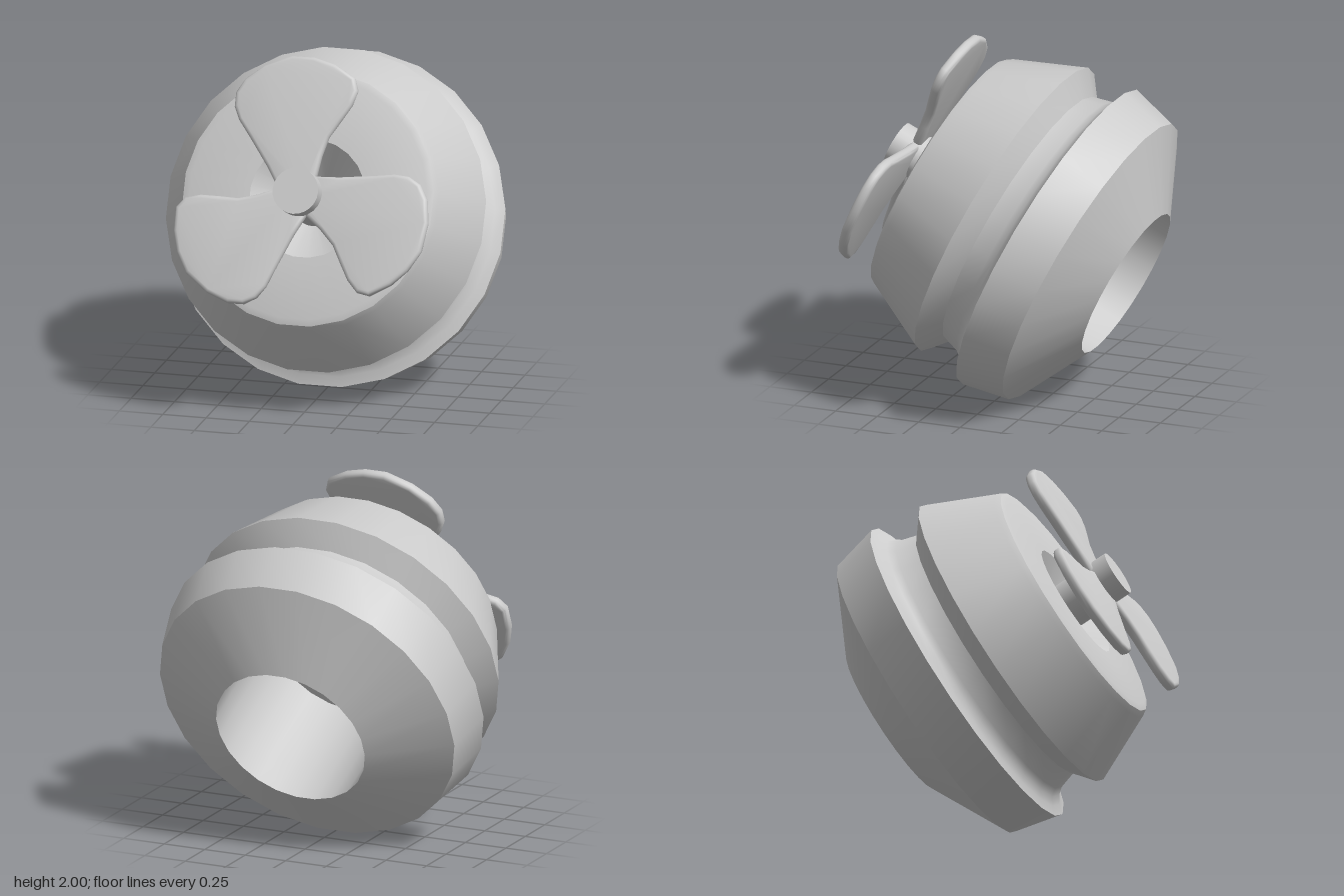
import * as THREE from 'three';
import { toCreasedNormals } from 'three/addons/utils/BufferGeometryUtils.js';

const V = (pairs) => pairs.map(([a, b]) => new THREE.Vector2(a, b));

export function createModel() {
  const material = new THREE.MeshStandardMaterial({ color: 0xcccccc });
  const model = new THREE.Group();

  // everything is built around the z axis, then tilted upwards
  const engine = new THREE.Group();
  engine.name = 'tiltedEngine';
  engine.rotation.x = -THREE.MathUtils.degToRad(25);
  engine.position.y = 1.023;
  model.add(engine);

  const add = (geometry, name, parent = engine) => {
    const mesh = new THREE.Mesh(geometry, material);
    mesh.name = name;
    parent.add(mesh);
    return mesh;
  };

  // housing profile as [radius, distance along the axis]
  const profile = V([
    [0, -0.01], [0.445, -0.01], [0.455, -0.55], [0.451, -0.76], // rear bore
    [0.893, -0.522], [0.955, -0.253],                           // rear cone and rim
    [0.9, -0.236], [0.855, -0.21], [0.825, -0.17], [0.792, -0.057], // groove
    [0.918, 0.047], [0.742, 0.435], [0.722, 0.467], [0.685, 0.479], // front drum
    [0.335, 0.479], [0.13, 0.3], [0, 0.3],                      // dished recess
  ]);
  const housing = new THREE.LatheGeometry(profile, 24, Math.PI / 24);
  housing.rotateX(Math.PI / 2);
  add(toCreasedNormals(housing, 0.66), 'housing');

  // propeller shaft
  const shaft = new THREE.CylinderGeometry(0.131, 0.131, 0.475, 24);
  shaft.rotateX(Math.PI / 2);
  add(shaft, 'shaft').position.z = 0.528;

  // three flat blades with softened edges
  const outline = new THREE.Shape(V([
    [0.03, 0], [0.085, 0.11], [0.1, 0.22], [0.13, 0.33], [0.185, 0.42], [0.24, 0.515],
    [0.265, 0.6], [0.24, 0.67], [0.12, 0.737], [0, 0.768], [-0.13, 0.768],
    [-0.28, 0.705], [-0.385, 0.62], [-0.43, 0.54], [-0.43, 0.46], [-0.395, 0.385],
    [-0.32, 0.29], [-0.2, 0.13], [-0.13, 0.02],
  ]));
  const blade = toCreasedNormals(new THREE.ExtrudeGeometry(outline, {
    depth: 0.016, bevelEnabled: true, bevelThickness: 0.022, bevelSize: 0.022,
    bevelOffset: -0.022, bevelSegments: 3,
  }), 0.8);
  const propeller = new THREE.Group();
  propeller.name = 'propeller';
  propeller.position.z = 0.638;
  engine.add(propeller);
  for (let i = 0; i < 3; i++) {
    add(blade, 'blade', propeller).rotation.z = (i * Math.PI * 2) / 3;
  }

  return model;
}
